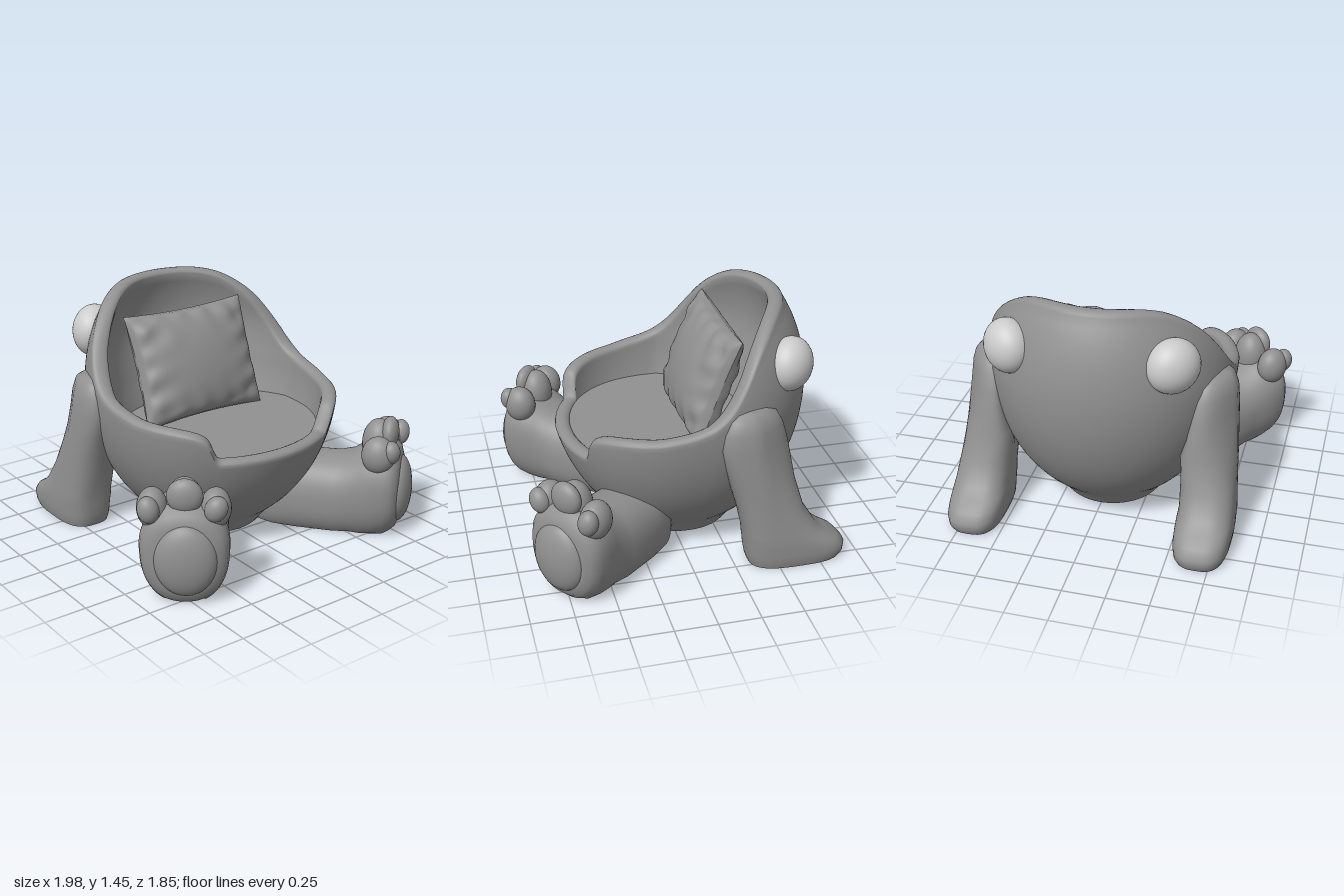
import * as THREE from 'three';
import { toCreasedNormals } from 'three/addons/utils/BufferGeometryUtils.js';

const grey = new THREE.MeshStandardMaterial({ color: 0x919191 });
const pale = new THREE.MeshStandardMaterial({ color: 0xe0e0e0 });
const { lerp, clamp, smoothstep } = THREE.MathUtils;

function addMesh(parent, name, geometry, material = grey) {
  const mesh = new THREE.Mesh(geometry, material);
  mesh.name = name;
  parent.add(mesh);
  return mesh;
}

// Grid of points fn(i, j); wraps around in i when closed
function gridGeometry(nu, nv, fn, closed = true) {
  const pos = [], index = [];
  for (let j = 0; j < nv; j++) for (let i = 0; i < nu; i++) pos.push(...fn(i, j));
  for (let j = 0; j < nv - 1; j++) {
    for (let i = 0; i < (closed ? nu : nu - 1); i++) {
      const k = (i + 1) % nu;
      const a = j * nu + i, b = j * nu + k, c = a + nu, d = b + nu;
      index.push(a, b, d, a, d, c);
    }
  }
  const g = new THREE.BufferGeometry();
  g.setAttribute('position', new THREE.Float32BufferAttribute(pos, 3));
  g.setIndex(index);
  g.computeVertexNormals();
  return g;
}

// Interpolate rows of numbers by their first column (ascending)
function sample(rows, t) {
  let i = 0;
  while (i < rows.length - 2 && t > rows[i + 1][0]) i++;
  const [a, b] = [rows[i], rows[i + 1]];
  const f = clamp((t - a[0]) / (b[0] - a[0]), 0, 1);
  return a.map((v, k) => lerp(v, b[k], f));
}

const signedPow = (v, p) => Math.sign(v) * Math.abs(v) ** p;

function ellipsoid(parent, name, [x, y, z], [rx, ry, rz], material) {
  const m = addMesh(parent, name, new THREE.SphereGeometry(1, 32, 20), material);
  m.position.set(x, y, z);
  m.scale.set(rx, ry, rz);
  return m;
}

// Rim height by depth: high back, sloping sides, level armrests
const rim = [[-0.65, 1.45], [-0.57, 1.43], [-0.5, 1.385], [-0.4, 1.28], [-0.3, 1.12], [-0.2, 0.99],
  [-0.1, 0.92], [0, 0.89], [0.2, 0.855], [0.4, 0.845], [0.5, 0.83], [0.55, 0.8], [0.58, 0.74], [0.62, 0.66]];
const rimAt = (z) => (sample(rim, z - 0.03)[1] + sample(rim, z)[1] + sample(rim, z + 0.03)[1]) / 3;

// Egg-shaped bowl on a small flat base; inset moves inwards through the wall
function bowlPoint(theta, y, inset = 0) {
  const q = (y - 0.92) / (y < 0.92 ? 0.95 : 0.85);
  const R = Math.max(Math.sqrt(Math.max(0, 1 - q * q)), y < 0.3 ? 0.41 + y : 0);
  const c = Math.cos(theta);
  const x = 0.74 * R * Math.sin(theta) * (1 - 0.07 * Math.max(0, y - 0.92));
  const z = R * (c > 0 ? 0.79 * c ** 0.82 : 0.755 * c);
  const f = 1 - inset / Math.hypot(x, z);
  return [x * f, y, z * f - 0.09];
}

function rimHeight(theta) {
  let lo = 0.6, hi = 1.5;
  for (let n = 0; n < 30; n++) {
    const y = (lo + hi) / 2;
    if (y < rimAt(bowlPoint(theta, y)[2])) lo = y; else hi = y;
  }
  if (Math.cos(theta) < 0) return lo;
  return lerp(0.66, Math.max(lo, 0.66), smoothstep(Math.abs(0.71 * Math.sin(theta)), 0.39, 0.45));
}

// Bowl wall, rounded rim, inner wall and flat seat in one surface
function bowlGeometry() {
  const N = 200, OUT = 30, ARC = 8, IN = 14, SEAT = 0.64, ROUND = 0.03;
  const profiles = [];
  for (let i = 0; i < N; i++) {
    const th = (i / N) * Math.PI * 2;
    const top = rimHeight(th) - ROUND;
    const wall = (y) => 0.09 - 0.025 * smoothstep(y, 0.85, 1.15)
      + Math.max(0, -Math.cos(th)) * (0.03 + 0.18 * clamp((1.42 - y) / 0.75, 0, 1));
    const p = [[0, 0, -0.09]];
    for (let k = 0; k <= OUT; k++) p.push(bowlPoint(th, top * k / OUT));
    for (let k = 1; k < ARC; k++) {
      const a = (k / ARC) * Math.PI;
      const q = bowlPoint(th, top, wall(top) * (1 - Math.cos(a)) / 2);
      p.push([q[0], top + ROUND * Math.sin(a), q[2]]);
    }
    for (let k = 0; k <= IN; k++) {
      const y = lerp(top, SEAT, k / IN);
      p.push(bowlPoint(th, y, wall(y)));
    }
    p.push([0, SEAT + 0.005, 0]);
    profiles.push(p);
  }
  return toCreasedNormals(gridGeometry(N, profiles[0].length, (i, j) => profiles[i][j]), 0.9);
}

// Front leg sections along its length: [z, half width, top, bottom before the flat cut]
const legRows = [[0.18, 0.001, 0.2, 0.1], [0.2, 0.09, 0.3, -0.06], [0.36, 0.2, 0.43, -0.06], [0.5, 0.225, 0.45, -0.06],
  [0.74, 0.23, 0.455, -0.06], [0.83, 0.235, 0.48, -0.06], [0.9, 0.245, 0.53, -0.06], [0.97, 0.255, 0.57, -0.05],
  [1.04, 0.255, 0.575, -0.03], [1.08, 0.245, 0.56, 0], [1.11, 0.22, 0.53, 0.03], [1.128, 0.175, 0.47, 0.08],
  [1.135, 0.001, 0.28, 0.26]];

// Toes: [x, y, z, height radius, width radius] and the pad on each: [x, y, z, rx, ry, tilt]
const toes = [
  { toe: [-0.17, 0.535, 1.0, 0.115, 0.085], pad: [-0.175, 0.56, 1.075, 0.062, 0.075, 0.4] },
  { toe: [0, 0.55, 0.98, 0.15, 0.105], pad: [-0.005, 0.62, 1.045, 0.1, 0.1, 0] },
  { toe: [0.175, 0.535, 1.01, 0.115, 0.085], pad: [0.188, 0.555, 1.09, 0.06, 0.077, -0.2] }];

function frontLeg(side) {
  const leg = new THREE.Group();
  leg.name = side > 0 ? 'leftFrontLeg' : 'rightFrontLeg';
  leg.position.set(side * 0.1, 0, -0.08);
  leg.rotation.y = side * 0.68;
  const g = gridGeometry(64, legRows.length, (i, j) => {
    const [z, w, top, low] = legRows[j];
    const a = (i / 64) * Math.PI * 2;
    const y = Math.max(0, (top + low) / 2 + (top - low) / 2 * signedPow(Math.sin(a), 0.85));
    const taper = z > 0.8 ? lerp(0.9, 1, clamp(y / 0.4, 0, 1)) : 1;
    return [w * taper * signedPow(Math.cos(a), 0.85), y, z];
  });
  addMesh(leg, 'legAndFoot', toCreasedNormals(g, 0.9));
  ellipsoid(leg, 'solePad', [-side * 0.01, 0.27, 1.11], [0.175, 0.212, 0.085]);
  // Three toes rising out of the foot, each with its own pad
  for (const { toe, pad } of toes) {
    ellipsoid(leg, 'toe', [side * toe[0], toe[1], toe[2]], [toe[4], toe[3], 0.1]);
    const p = ellipsoid(leg, 'toePad', [side * pad[0], pad[1], pad[2]], [pad[3], pad[4], 0.055]);
    p.rotation.z = side * pad[5];
  }
  return leg;
}

// Back leg slices by height: [y, front z, back z, centre x, half width]
const backRows = [[0, -0.5, -0.5, 0.68, 0], [0, -0.34, -0.9, 0.68, 0.15], [0.03, -0.33, -0.92, 0.68, 0.16],
  [0.08, -0.32, -0.925, 0.68, 0.165], [0.13, -0.315, -0.88, 0.68, 0.165], [0.17, -0.31, -0.81, 0.68, 0.165],
  [0.22, -0.305, -0.745, 0.68, 0.16], [0.35, -0.275, -0.665, 0.67, 0.16], [0.52, -0.225, -0.62, 0.67, 0.15],
  [0.64, -0.19, -0.6, 0.695, 0.115], [0.78, -0.155, -0.57, 0.705, 0.095], [0.88, -0.165, -0.54, 0.7, 0.09],
  [0.95, -0.195, -0.5, 0.69, 0.08], [0.985, -0.235, -0.43, 0.68, 0.06], [1.0, -0.31, -0.34, 0.67, 0]];

// Upper slices curve inwards at the rear to hug the bowl
function backLegGeometry(side) {
  const g = gridGeometry(48, backRows.length, (i, j) => {
    const [y, zf, zb, x, w] = backRows[j];
    const a = (i / 48) * Math.PI * 2, p = y < 0.25 ? 0.68 : 0.8;
    const dz = (zf - zb) / 2 * signedPow(Math.cos(a), p);
    const hug = 0.45 * smoothstep(y, 0.3, 0.7) * Math.min(0, dz);
    return [side * (x + hug) + w * signedPow(Math.sin(a), p), y, (zf + zb) / 2 + dz];
  });
  return toCreasedNormals(g, 0.9);
}

// One face of the cushion: pinched corners, soft bulge, gathered folds near the seams
function cushionFace(side) {
  const N = 65;
  return gridGeometry(N, N, (i, j) => {
    const u = side * (i / (N - 1) * 2 - 1), v = j / (N - 1) * 2 - 1;
    const eu = 1 - u * u, ev = 1 - v * v;
    const bulge = 0.14 * (eu * ev) ** 0.42;
    const edge = Math.min(1, 5 * eu * ev) * (1 - eu * ev);
    const folds = 0.011 * edge * (Math.sin(17 * u + 4 * v + side) * v * v + Math.sin(14 * v - 5 * u) * u * u
      + 0.5 * Math.sin(11 * u * v + 6 * u));
    return [u * (0.43 - 0.025 * ev), v * (0.345 - 0.02 * eu), side * (bulge + folds)];
  }, false);
}

export function createModel() {
  const model = new THREE.Group();
  model.name = 'animalChair';
  addMesh(model, 'bowlSeat', bowlGeometry());

  for (const side of [1, -1]) {
    const label = side > 0 ? 'left' : 'right';
    model.add(frontLeg(side));
    addMesh(model, label + 'BackLeg', backLegGeometry(side));
    const eye = ellipsoid(model, label + 'Eye', [side * 0.47, 1.15, -0.625], [0.16, 0.16, 0.13], pale);
    eye.rotation.y = -side * 0.72;
  }

  // Cushion leaning on the backrest
  const cushion = new THREE.Group();
  cushion.name = 'cushion';
  cushion.position.set(0, 0.965, -0.23);
  cushion.rotation.x = -0.36;
  addMesh(cushion, 'cushionFront', cushionFace(1));
  addMesh(cushion, 'cushionBack', cushionFace(-1));
  model.add(cushion);
  return model;
}
